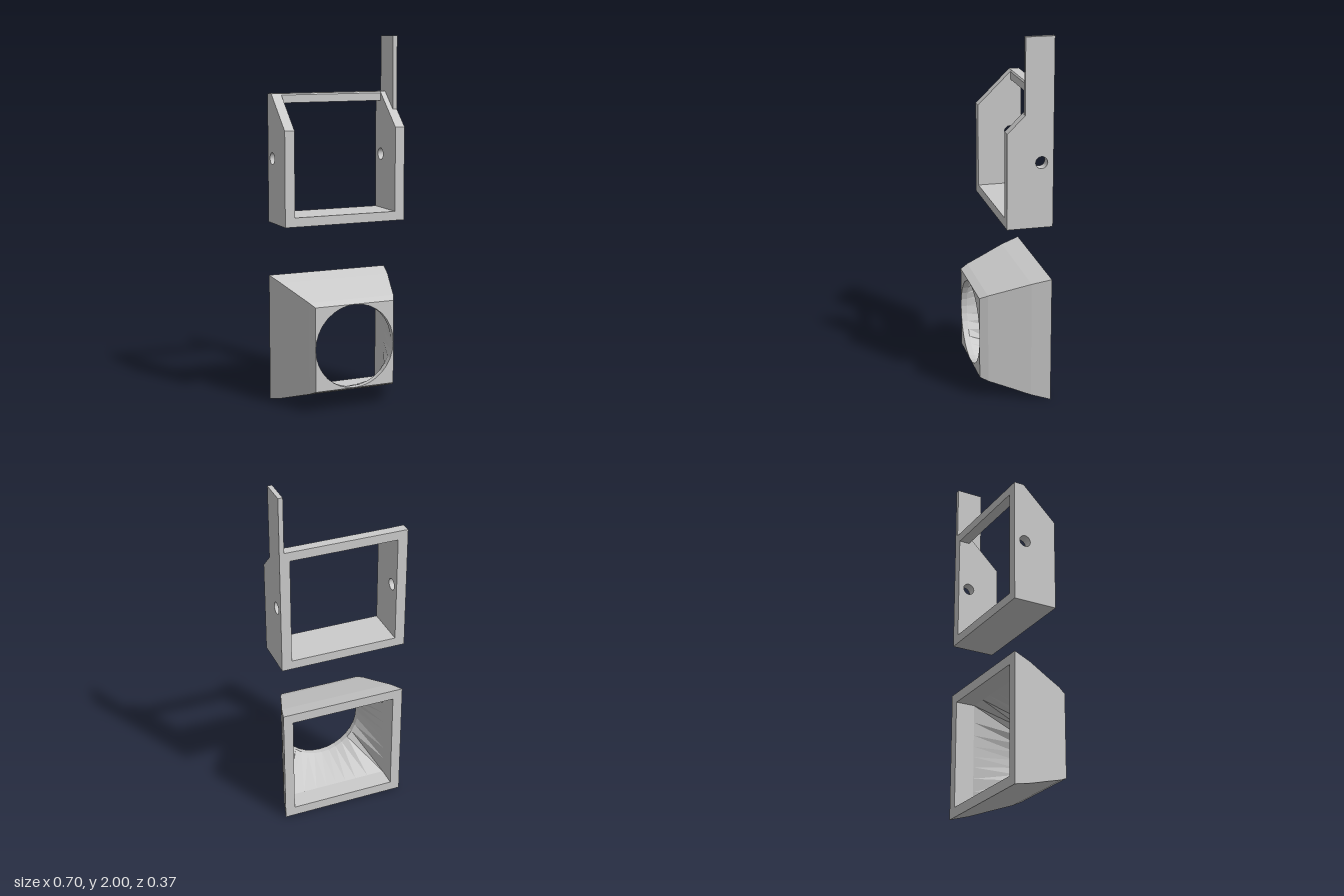
import * as THREE from 'three';

const material = new THREE.MeshStandardMaterial({ color: 0xcccccc, flatShading: true });
const BACK = -0.183, FRONT = 0.183, HALF = 0.35, INNER = 0.295;

// Extrudes a side profile of [z, y] points across x, from x0 to x1
function sidePanel(name, profile, x0, x1, hole) {
  const shape = new THREE.Shape(profile.map(([z, y]) => new THREE.Vector2(z, y)));
  if (hole) shape.holes.push(new THREE.Path().absarc(hole.z, hole.y, hole.r, 0, Math.PI * 2, true));
  const geometry = new THREE.ExtrudeGeometry(shape, { depth: x1 - x0, bevelEnabled: false, curveSegments: 16 });
  geometry.rotateY(-Math.PI / 2).translate(x1, 0, 0);
  const mesh = new THREE.Mesh(geometry, material);
  mesh.name = name;
  return mesh;
}

// Closed loft through rings that are square or round, all sharing the same angles
function loftRings(rings, centreY, sides) {
  const positions = [], indices = [];
  for (const { z, r, round } of rings) {
    for (let j = 0; j < sides; j++) {
      const a = (j / sides) * Math.PI * 2, c = Math.cos(a), s = Math.sin(a);
      const k = round ? r : r / Math.max(Math.abs(c), Math.abs(s));
      positions.push(c * k, centreY + s * k, z);
    }
  }
  for (let i = 0; i < rings.length; i++) {
    const next = (i + 1) % rings.length;
    for (let j = 0; j < sides; j++) {
      const j2 = (j + 1) % sides;
      const a = i * sides + j, b = i * sides + j2, c = next * sides + j2, d = next * sides + j;
      indices.push(a, b, c, a, c, d);
    }
  }
  const indexed = new THREE.BufferGeometry();
  indexed.setAttribute('position', new THREE.Float32BufferAttribute(positions, 3));
  indexed.setIndex(indices);
  const geometry = indexed.toNonIndexed();
  geometry.computeVertexNormals();
  return geometry;
}

export function createModel() {
  const model = new THREE.Group();
  model.name = 'frameAndHood';

  // Upper bracket: two drilled cheeks with a sloped front shoulder
  const bracket = new THREE.Group();
  bracket.name = 'bracket';
  const cheek = [[BACK, 1], [0.062, 1], [0.062, 1.51], [-0.128, 1.695], [BACK, 1.695]];
  const pinHole = { z: -0.12, y: 1.35, r: 0.032 };
  bracket.add(sidePanel('leftCheek', cheek, INNER, HALF, pinHole));
  bracket.add(sidePanel('rightCheek', cheek, -HALF, -INNER, pinHole));

  // Floor and top bar between the cheeks
  bracket.add(sidePanel('floor', [[BACK, 1], [0.062, 1], [0.062, 1.05], [BACK, 1.05]], -INNER, INNER));
  bracket.add(sidePanel('topBar',
    [[BACK, 1.645], [-0.123, 1.645], [-0.123, 1.687], [-0.13, 1.695], [BACK, 1.695]], -INNER, INNER));

  // Tall thin arm rising from the left cheek
  bracket.add(sidePanel('arm',
    [[BACK, 1.695], [-0.128, 1.695], [-0.032, 1.6], [-0.032, 2], [BACK, 2]], 0.325, HALF));
  model.add(bracket);

  // Lower hood: curved square taper outside, square-to-round passage inside
  const hood = new THREE.Mesh(loftRings([
    { z: BACK, r: HALF },
    { z: -0.08, r: 0.323 },
    { z: 0.06, r: 0.276 },
    { z: 0.14, r: 0.25 },
    { z: FRONT, r: 0.23 },
    { z: FRONT, r: 0.229, round: true },
    { z: 0.15, r: 0.229, round: true },
    { z: -0.075, r: INNER },
    { z: BACK, r: INNER },
  ], 0.353, 32), material);
  hood.name = 'hood';
  model.add(hood);

  return model;
}
